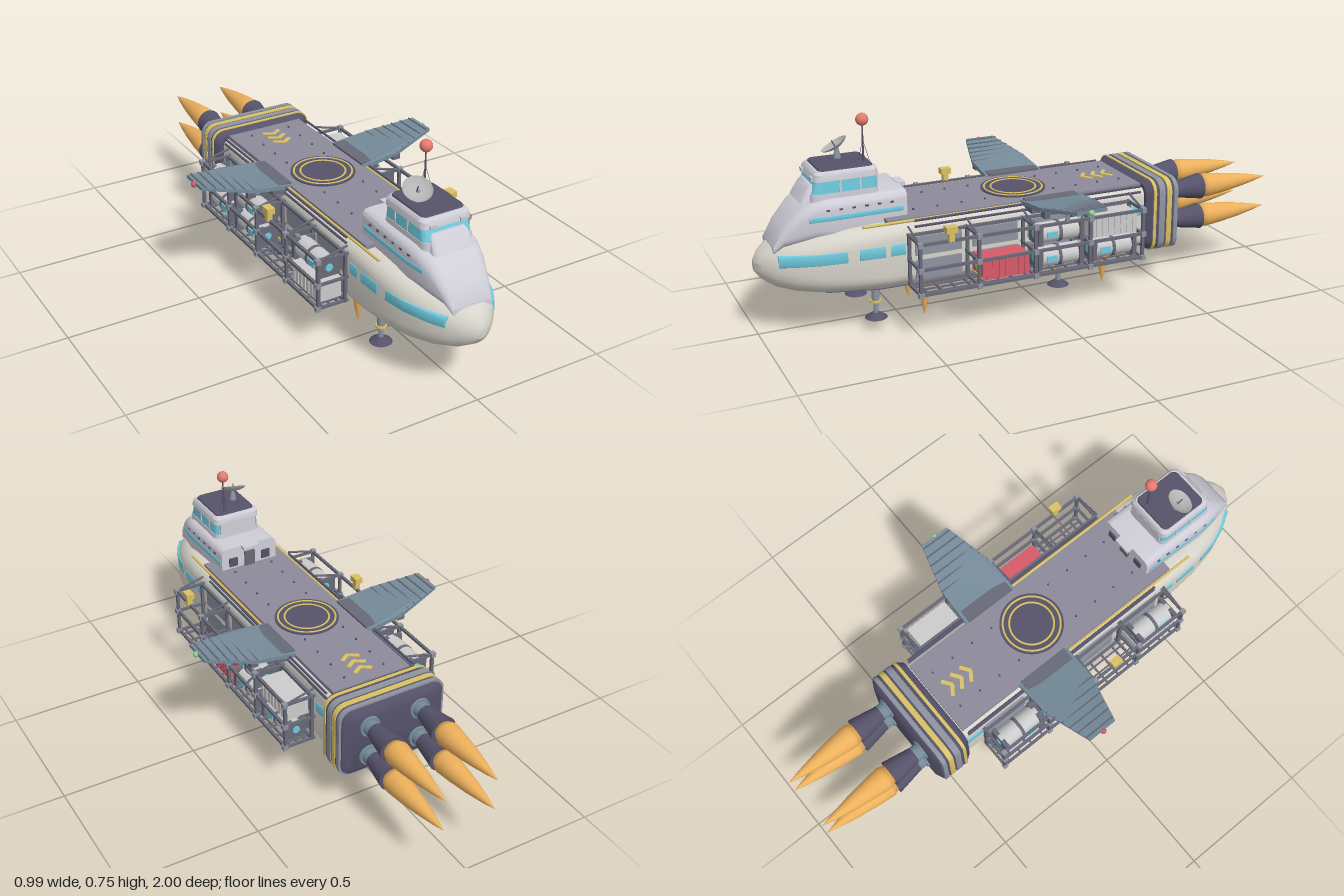
import * as THREE from 'three';
import { toCreasedNormals, mergeGeometries } from 'three/addons/utils/BufferGeometryUtils.js';

const mat = (color) => new THREE.MeshStandardMaterial({ color });
const M = {
  hull: mat(0xd6d4ca), cabin: mat(0xcfced8), deck: mat(0x8d8a9a), dark: mat(0x56526a), metal: mat(0x8e939f),
  frame: mat(0x686a78), glass: mat(0x70cbdf), yellow: mat(0xd9c165), red: mat(0xd65a68), green: mat(0x8fd08a),
  flame: mat(0xecb05c), wing: mat(0x758a99), ball: mat(0xe57a70), white: mat(0xdcdcd8),
};
const V = (x, y, z) => new THREE.Vector3(x, y, z);

// Skin through rounded-rectangle rings [z, halfWidth, yLow, yHigh, cornerRadius]
function loft(rings, crease = 0.6) {
  const pos = [], idx = [], n = 24;
  for (const [z, w, lo, hi, rad] of rings) {
    const r = Math.min(rad, w, (hi - lo) / 2);
    [[1, 1], [-1, 1], [-1, -1], [1, -1]].forEach(([sx, sy], q) => {
      for (let k = 0; k < 6; k++) {
        const a = (q + k / 5) * Math.PI / 2;
        pos.push(sx * (w - r) + r * Math.cos(a), (sy > 0 ? hi - r : lo + r) + r * Math.sin(a), z);
      }
    });
  }
  for (let i = 0; i < rings.length - 1; i++) for (let j = 0; j < n; j++) {
    const a = i * n + j, b = i * n + (j + 1) % n;
    idx.push(a, b, b + n, a, b + n, a + n);
  }
  const e = (rings.length - 1) * n;
  for (let j = 1; j < n - 1; j++) idx.push(0, j + 1, j, e, e + j, e + j + 1);
  const g = new THREE.BufferGeometry();
  g.setAttribute('position', new THREE.Float32BufferAttribute(pos, 3));
  g.setIndex(idx);
  return toCreasedNormals(g, crease);
}
const boxG = (x, y, z, w, h, d) => new THREE.BoxGeometry(w, h, d).translate(x, y, z);
// Round bar between two points
function barG(a, b, r, r2 = r, sides = 12) {
  const d = b.clone().sub(a);
  const q = new THREE.Quaternion().setFromUnitVectors(V(0, 1, 0), d.clone().normalize());
  const mid = a.clone().add(b).multiplyScalar(0.5);
  return new THREE.CylinderGeometry(r2, r, d.length(), sides).applyQuaternion(q).translate(mid.x, mid.y, mid.z);
}
// Bullet-shaped plume along an axis
function plumeG(from, dir, len, r) {
  const pts = [[0, 0], [0.75, 0], [1, 0.1], [0.86, 0.3], [0.6, 0.58], [0.28, 0.83], [0, 1]];
  const g = new THREE.LatheGeometry(pts.map(([a, b]) => new THREE.Vector2(a * r, b * len)), 24);
  return g.applyQuaternion(new THREE.Quaternion().setFromUnitVectors(V(0, 1, 0), dir)).translate(from.x, from.y, from.z);
}

export function createModel() {
  const root = new THREE.Group();
  const add = (name, geo, m, parent = root) => {
    const mesh = new THREE.Mesh(Array.isArray(geo) ? mergeGeometries(geo) : geo, m);
    mesh.name = name;
    parent.add(mesh);
    return mesh;
  };

  // Hull, belly and nose
  add('hull', loft([[-0.43, .176, .163, .388, .03], [.35, .183, .163, .388, .04], [.6, .186, .163, .388, .05], [.7, .18, .163, .384, .06],
    [.8, .16, .165, .37, .065], [.88, .128, .171, .352, .07], [.94, .092, .186, .334, .065], [.98, .052, .21, .31, .05], [1, .018, .238, .28, .02]]), M.hull);
  add('belly', loft([[-0.42, .15, .152, .2, .01], [.6, .15, .152, .2, .01], [.78, .11, .156, .2, .01]]), M.deck);
  add('bellyHatch', [boxG(0, .151, .15, .17, .008, .5), boxG(0, .151, -.28, .2, .008, .12)], M.frame);
  const stripe = (z) => z < .6 ? .179 + .009 * (z + .43) / 1.03 : .188;
  [[-0.41, -0.34], [-.3, -.14], [-.1, .06], [.1, .27], [.52, .57], [.59, .68]].forEach(([a, b]) =>
    add('windowStripe', loft([[a, stripe(a), .285, .325, .002], [b, b > .65 ? .184 : stripe(b), .285, .325, .002]]), M.glass));
  add('noseWindow', loft([[.72, .178, .283, .322, .002], [.8, .1625, .28, .32, .002], [.88, .131, .275, .315, .004], [.935, .097, .268, .31, .008]]), M.glass);

  // Deck with landing pad and markings
  add('deck', [boxG(0, .394, .08, .31, .016, .98)], M.deck);
  const edge = [], bolts = [];
  for (const s of [-1, 1]) {
    edge.push(barG(V(s * .163, .395, -.02), V(s * .163, .395, .66), .005));
    for (let i = 0; i < 10; i++) bolts.push(new THREE.CylinderGeometry(.004, .004, .006, 8).translate(s * .08, .404, -.36 + i * .09));
  }
  add('deckEdge', edge, M.yellow);
  add('deckBolts', bolts, M.dark);
  add('landingPad', new THREE.CylinderGeometry(.118, .118, .006, 48).translate(0, .404, .035), M.dark);
  for (const r of [.082, .106]) add('padRing', new THREE.TorusGeometry(r, .004, 6, 48).rotateX(Math.PI / 2).scale(1, .6, 1).translate(0, .407, .035), M.yellow);
  for (let i = 0; i < 3; i++) for (const s of [-1, 1])
    add('chevron', new THREE.BoxGeometry(.044, .004, .014).rotateY(s * .6).translate(s * .017, .404, -.345 + i * .042), M.yellow);

  // Upper cabin
  add('cabin', loft([[.485, .118, .35, .49, .025], [.76, .123, .35, .49, .035], [.8, .119, .35, .486, .04], [.85, .108, .34, .462, .04],
    [.91, .09, .33, .398, .035], [.945, .075, .31, .338, .014]]), M.cabin);
  add('cabinStripe', loft([[.5, .1205, .42, .437, .001], [.76, .1245, .42, .437, .001], [.8, .1205, .42, .437, .001], [.83, .115, .418, .434, .001]]), M.glass);
  for (const s of [-1, 1]) {
    for (let i = 0; i < 6; i++) add('porthole', boxG(s * .121, .457, .54 + i * .045, .006, .006, .012), M.dark);
    add('rearWindow', boxG(s * .07, .43, .483, .035, .035, .008), M.dark);
  }
  add('rearDoor', boxG(0, .428, .482, .042, .07, .012), M.frame);
  add('doorAwning', boxG(0, .486, .475, .066, .012, .03), M.cabin);

  // Bridge tower, stacked in layers along its height
  const bridge = new THREE.Group();
  bridge.name = 'bridge';
  bridge.rotation.x = -Math.PI / 2;
  root.add(bridge);
  add('bridgeBase', loft([[.47, .096, -.815, -.572, .025], [.507, .095, -.812, -.574, .025]]), M.cabin, bridge);
  add('bridgeWindows', loft([[.505, .093, -.808, -.576, .022], [.555, .091, -.79, -.578, .022]]), M.glass, bridge);
  add('bridgeRoof', loft([[.55, .096, -.8, -.572, .025], [.572, .094, -.795, -.574, .025], [.582, .086, -.785, -.582, .025]]), M.cabin, bridge);
  add('roofTop', loft([[.58, .083, -.78, -.586, .02], [.588, .079, -.775, -.59, .02]]), M.dark, bridge);
  add('frontFairing', loft([[.475, .078, -.845, -.75, .015], [.52, .072, -.818, -.75, .015], [.534, .062, -.805, -.75, .012]]), M.cabin, bridge);
  add('bridgeBack', boxG(0, .53, .576, .15, .05, .008), M.cabin);
  for (const s of [-1, 1]) {
    add('headlight', boxG(s * .058, .556, .797, .026, .014, .014), M.white);
    for (const z of [.64, .71]) add('windowPost', boxG(s * .092, .53, z, .006, .055, .007), M.cabin);
  }

  // Dish and mast
  add('dishStand', barG(V(-.035, .585, .68), V(-.035, .625, .68), .014, .007), M.metal);
  const dish = add('dish', new THREE.LatheGeometry([[0, 0], [.025, .003], [.042, .01], [.05, .017]].map((p) => new THREE.Vector2(...p)), 32), new THREE.MeshStandardMaterial({ color: 0xb4b4b4, side: THREE.DoubleSide }));
  dish.position.set(-.04, .622, .68);
  dish.rotation.set(.5, 0, .16);
  dish.add(new THREE.Mesh(barG(V(0, 0, 0), V(0, .03, 0), .002), M.dark));
  const mast = [barG(V(.04, .58, .61), V(.04, .72, .61), .004, .0025)];
  for (let i = 0; i < 3; i++) {
    const a = i * 2.094 + .5;
    mast.push(barG(V(.04, .665, .61), V(.04 + .024 * Math.cos(a), .585, .61 + .022 * Math.sin(a)), .0008, .0008, 5));
  }
  add('mast', mast, M.dark);
  add('mastBeacon', new THREE.SphereGeometry(.022, 24, 16).translate(.04, .735, .61), M.ball);

  // Engine block, nozzles and plumes
  add('engineBlock', loft([[-.558, .175, .165, .39, .03], [-.545, .2, .148, .41, .04], [-.52, .207, .143, .414, .045], [-.44, .207, .143, .414, .045], [-.415, .19, .155, .4, .04]]), M.dark);
  [[-.533, .008, M.metal], [-.505, .01, M.yellow], [-.475, .012, M.metal], [-.445, .006, M.yellow]].forEach(([z, h, m]) =>
    add('engineBand', loft([[z - h, .21, .14, .417, .047], [z + h, .21, .14, .417, .047]]), m));
  for (const x of [-.1, .1]) for (const y of [.215, .335]) {
    add('nozzleNeck', [barG(V(x, y, -.54), V(x, y, -.565), .043, .038, 24), barG(V(x, y, -.56), V(x, y, -.61), .03, .03, 24)], M.wing);
    add('nozzleBell', barG(V(x, y, -.585), V(x, y, -.7), .029, .049, 28), M.dark);
    add('enginePlume', plumeG(V(x, y, -.695), V(0, 0, -1), .305, .045), M.flame);
  }

  for (const s of [-1, 1]) {
    // Landing legs and lift thrusters
    for (const z of [.61, -.095]) {
      add('leg', [barG(V(s * .115, .06, z), V(s * .115, .165, z), .009), barG(V(s * .115, .1, z), V(s * .115, .165, z), .014)], M.metal);
      add('legCollar', barG(V(s * .115, .1, z), V(s * .115, .107, z), .02), M.yellow);
      add('foot', barG(V(s * .115, .042, z), V(s * .115, .06, z), .04, .014, 24), M.dark);
    }
    for (const z of [.42, -.295]) {
      add('thrusterRing', barG(V(s * .085, .145, z), V(s * .085, .16, z), .026, .026, 20), M.dark);
      add('liftPlume', plumeG(V(s * .085, .158, z), V(0, -1, 0), .155, .024), M.flame);
    }

    // Wing, ribs, root fairing and tip light
    const shape = new THREE.Shape([[.15, -.15], [.3, -.145], [.48, -.095], [.48, .02], [.3, .07], [.15, .075]].map(([x, z]) => new THREE.Vector2(s * x, -z)));
    const lift = (x) => .388 + .2 * Math.max(0, Math.abs(x) - .2);
    const wing = new THREE.ExtrudeGeometry(shape, { depth: .014, bevelEnabled: false }).rotateX(-Math.PI / 2);
    const p = wing.attributes.position;
    for (let i = 0; i < p.count; i++) p.setY(i, p.getY(i) * (1.3 - Math.abs(p.getX(i))) + lift(p.getX(i)));
    wing.computeVertexNormals();
    add('wing', wing, M.wing);
    const ribs = [];
    for (let x = .2; x < .47; x += .033) {
      const t = Math.max(0, (x - .3) / .18);
      ribs.push(barG(V(s * x, lift(x) + .0135, -.145 + .05 * t), V(s * x, lift(x) + .0135, .068 - .05 * t), .003, .003, 6));
    }
    add('wingRibs', ribs, M.frame);
    add('wingRoot', [boxG(s * .185, .392, -.037, .075, .036, .2), boxG(s * .305, .398, .05, .03, .026, .02), boxG(s * .305, .398, -.12, .03, .026, .02)], M.frame);
    add('wingStrut', barG(V(s * .305, .36, -.035), V(s * .305, .41, -.035), .008), M.metal);
    add('tipLight', new THREE.SphereGeometry(.011, 16, 12).translate(s * .482, .446, -.035), s > 0 ? M.green : M.red);

    // Cargo rack
    const stops = [.51, .2975, .085, -.1275, -.34], bars = [], grid = [], knots = [];
    for (const y of [.175, .265, .355]) bars.push(boxG(s * .302, y, .085, .01, .01, .85));
    for (const y of [.175, .355]) bars.push(boxG(s * .197, y, .085, .01, .01, .85));
    for (const z of stops) {
      for (const x of [.197, .302]) bars.push(boxG(s * x, .265, z, .011, .19, .011));
      for (const y of [.175, .265, .355]) {
        bars.push(boxG(s * .245, y, z, .12, .009, .009));
        knots.push(boxG(s * .304, y, z, .018, .018, .018));
      }
      bars.push(barG(V(s * .19, .385, z), V(s * .3, .357, z), .004, .004, 6));
    }
    for (let i = 0; i < 16; i++) grid.push(boxG(s * .25, .173, .48 - i * .0531, .1, .006, .007));
    for (const x of [.22, .25, .28]) grid.push(boxG(s * x, .173, .085, .006, .006, .85));
    add('cargoRack', bars, M.frame);
    add('rackJoints', knots, M.metal);
    add('rackFloor', grid, M.frame);
    const lampZ = s > 0 ? .4 : .18;
    add('rackLamp', [boxG(s * .305, .372, lampZ, .02, .035, .02), boxG(s * .305, .397, lampZ, .03, .022, .04)], M.yellow);

    // Hull wall panels behind the rack, plus deck-side pipes
    const panels = [];
    for (let i = 0; i < 4; i++) for (const y of [.222, .308]) panels.push(boxG(s * .184, y, .4 - i * .2125, .012, .068, .17));
    add('wallPanels', panels, M.metal);
    for (const y of [.375, .397]) add('sidePipe', barG(V(s * .175, y, -.4), V(s * .175, y, .48), .0045), M.dark);

    // Tanks held in end frames
    const tank = (y, z) => {
      add('tank', barG(V(s * .249, y, z - .085), V(s * .249, y, z + .085), .037, .037, 20), M.white);
      add('tankFrame', [-.08, 0, .08].map((d) => d ? boxG(s * .249, y, z + d, .084, .07, .016) : barG(V(s * .249, y, z - .006), V(s * .249, y, z + .006), .039, .039, 20)), M.frame);
      for (const d of [-1, 1]) add('tankGauge', barG(V(s * .249, y, z + d * .087), V(s * .249, y, z + d * .091), .014, .014, 16), M.glass);
      add('tankLabel', boxG(s * .287, y, z + .035, .004, .022, .04), M.glass);
    };
    const crate = (y, z, m) => {
      add('crate', boxG(s * .245, y, z, .088, .075, .175), m);
      const ridges = [];
      for (let i = 0; i < 7; i++) ridges.push(boxG(s * .245, y, z - .072 + i * .024, .094, .068, .007));
      add('crateRidges', ridges, m);
    };
    const [b0, b1, b2, b3] = [.404, .191, -.021, -.234];
    for (const y of [.22, .31]) tank(y, b2);
    tank(.22, b3);
    if (s > 0) {
      crate(.222, b1, M.red);
      add('hazardDiamond', new THREE.BoxGeometry(.034, .034, .004).rotateZ(Math.PI / 4).translate(.245, .225, b1 + .089), M.yellow);
      add('hazardStrip', boxG(.245, .192, b1 + .089, .08, .008, .004), M.yellow);
      crate(.31, b3, M.white);
    } else {
      tank(.31, b3);
      tank(.31, b0);
      crate(.222, b0, M.white);
    }
  }
  return root;
}
